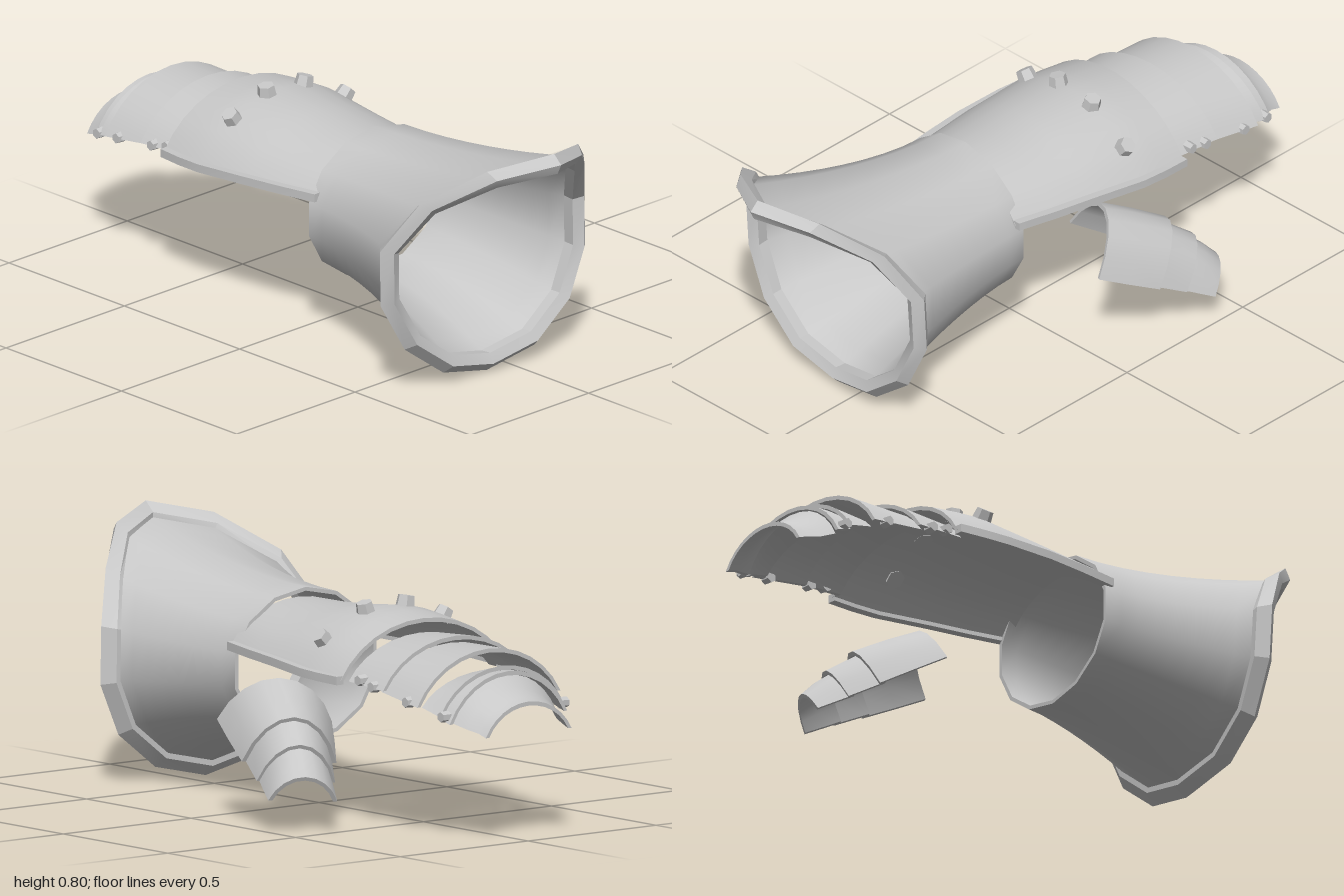
import * as THREE from 'three';
import { toCreasedNormals } from 'three/addons/utils/BufferGeometryUtils.js';

const V = (x, y, z) => new THREE.Vector3(x, y, z);
const { lerp } = THREE.MathUtils;
const ARC = 65 * Math.PI / 180;
const SIDES = 14;

// Solid skinned over closed loops of points; ends are capped, or joined into a ring.
function loft(loops, { ring = false, crease = 0.7 } = {}) {
  const n = loops[0].length, rows = loops.length, index = [];
  const quad = (a, b, c, d) => index.push(a, b, c, a, c, d);
  for (let r = 0; r < (ring ? rows : rows - 1); r++) {
    const p = r * n, q = ((r + 1) % rows) * n;
    for (let i = 0; i < n; i++) {
      const j = (i + 1) % n;
      quad(p + i, p + j, q + j, q + i);
    }
  }
  if (!ring) {
    const e = (rows - 1) * n;
    for (let i = 0; i < n / 2 - 1; i++) {
      quad(i + 1, i, n - 1 - i, n - 2 - i);
      quad(e + i, e + i + 1, e + n - 2 - i, e + n - 1 - i);
    }
  }
  // Keep faces outward
  const pts = loops.flat();
  let volume = 0;
  for (let i = 0; i < index.length; i += 3) {
    volume += pts[index[i]].dot(V(0, 0, 0).crossVectors(pts[index[i + 1]], pts[index[i + 2]]));
  }
  if (volume < 0) index.reverse();
  const geo = new THREE.BufferGeometry().setFromPoints(pts);
  geo.setIndex(index);
  return toCreasedNormals(geo, crease);
}

// Cross-section of a curved plate: outer arc, then inner arc back again.
function archLoop(centre, across, up, half, height, thick = 0.013, segs = 12) {
  const arc = (h, t) => Array.from({ length: segs + 1 }, (_, i) => {
    const a = lerp(-ARC, ARC, i / segs);
    return centre.clone()
      .addScaledVector(across, h * Math.sin(a) / Math.sin(ARC))
      .addScaledVector(up, t * (Math.cos(a) - Math.cos(ARC)) / (1 - Math.cos(ARC)));
  });
  return [...arc(half, height), ...arc(half - thick, height - thick).reverse()];
}

// Hand plate station: x, back z, front z, edge y, crown y
const handLoop = (skew) => ([x, z0, z1, y0, y1]) =>
  archLoop(V(x, y0, (z0 + z1) / 2), V(skew, 0, 1), V(0, 1, 0), (z1 - z0) / 2, y1 - y0);

export function createModel() {
  const model = new THREE.Group();
  model.name = 'gauntlet';
  const steel = new THREE.MeshStandardMaterial({ color: 0xc8c8c8 });
  steel.name = 'steel';
  const add = (name, geo) => {
    const mesh = new THREE.Mesh(geo, steel);
    mesh.name = name;
    model.add(mesh);
    return mesh;
  };

  // Flared cuff with a peaked opening
  const rimX = [0.985, 0.89, 0.75, 0.66, 0.655, 0.665, 0.67, 0.66];
  const rimPoint = (k, f, dx) => {
    const a = k / SIDES * Math.PI * 2;
    const z = 0.1 - 0.415 * f * Math.sin(a) + 0.015 * Math.cos(a);
    return V(rimX[Math.min(k, SIDES - k)] + dx - 0.07 * (z - 0.1), 0.405 + 0.4 * f * Math.cos(a), z);
  };
  const cuffPoint = (k, t, inset) => {
    const a = k / SIDES * Math.PI * 2;
    const z = 0.055 - (0.268 - inset) * Math.sin(a);
    const wrist = V(0.13 - 0.07 * (z - 0.055), 0.407 + (0.238 - inset) * Math.cos(a), z);
    const rim = rimPoint(k, 0.89 - inset * 2.4, -0.035);
    const flare = Math.pow(t, 1.7);
    return V(lerp(wrist.x, rim.x, t), lerp(wrist.y, rim.y, flare), lerp(wrist.z, rim.z, flare));
  };
  const steps = 8, cuffLoops = [], rimLoops = [];
  const rimProfile = [[0.86, -0.05], [0.92, -0.05], [1, -0.015], [0.93, 0.015], [0.85, 0]];
  for (let k = 0; k < SIDES; k++) {
    const outer = [], inner = [];
    for (let s = 0; s <= steps; s++) {
      outer.push(cuffPoint(k, s / steps, 0));
      inner.unshift(cuffPoint(k, s / steps, 0.012));
    }
    cuffLoops.push([...outer, ...inner]);
    rimLoops.push(rimProfile.map(([f, dx]) => rimPoint(k, f, dx)));
  }
  add('cuff', loft(cuffLoops, { ring: true }));
  add('cuffRim', loft(rimLoops, { ring: true, crease: 0.3 }));

  // Back-of-hand plate
  const hand = [
    [-0.48, -0.29, 0.33, 0.46, 0.625], [-0.39, -0.29, 0.342, 0.462, 0.635],
    [-0.3, -0.285, 0.348, 0.465, 0.643], [-0.12, -0.255, 0.34, 0.475, 0.622],
    [0.02, -0.23, 0.325, 0.48, 0.613], [0.16, -0.2, 0.305, 0.485, 0.612],
  ];
  add('handPlate', loft(hand.map(handLoop(-0.07))));

  // Square trim along both edges of the hand plate
  for (const side of [-1, 1]) {
    const loops = hand.map(([x, z0, z1, y]) => {
      const z = side > 0 ? z1 : z0, px = x - 0.07 * (z - 0.03);
      return [[-0.012, -0.013], [0.016, -0.013], [0.016, 0.013], [-0.012, 0.013]]
        .map(([dz, dy]) => V(px, y + dy, z + side * dz));
    });
    add(side > 0 ? 'frontTrim' : 'backTrim', loft(loops, { crease: 0.3 }));
  }

  // Overlapping finger plates
  const fingers = [
    [[-0.63, -0.265, 0.305, 0.445, 0.588], [-0.46, -0.26, 0.3, 0.455, 0.578]],
    [[-0.8, -0.27, 0.29, 0.415, 0.57], [-0.61, -0.255, 0.288, 0.44, 0.565]],
    [[-0.865, -0.235, 0.25, 0.39, 0.525], [-0.78, -0.235, 0.25, 0.41, 0.502]],
    [[-0.9, -0.225, 0.235, 0.37, 0.513], [-0.85, -0.225, 0.235, 0.385, 0.51]],
    [[-1, -0.165, 0.17, 0.335, 0.432], [-0.965, -0.165, 0.175, 0.345, 0.44],
      [-0.925, -0.18, 0.185, 0.355, 0.465], [-0.885, -0.2, 0.205, 0.37, 0.503]],
  ];
  fingers.forEach((stations, i) => add('fingerPlate' + (i + 1), loft(stations.map(handLoop(0)))));

  // Thumb plates: [position along thumb, half width, height] at each end
  const thumbBase = V(-0.08, 0.29, -0.24), thumbTip = V(-0.43, 0.1, -0.415);
  const along = thumbTip.clone().sub(thumbBase).normalize();
  const across = V(0.51, 0.04, -0.86).normalize();
  const up = across.clone().cross(along).normalize();
  const thumb = [
    [[0, 0.176, 0.155], [0.25, 0.163, 0.163], [0.52, 0.145, 0.165]],
    [[0.47, 0.135, 0.15], [0.76, 0.12, 0.135]],
    [[0.71, 0.113, 0.123], [0.86, 0.11, 0.11], [1, 0.106, 0.088]],
  ];
  thumb.forEach((stations, i) => add('thumbPlate' + (i + 1), loft(stations.map(([t, half, h]) =>
    archLoop(thumbBase.clone().lerp(thumbTip, t), across, up, half, h, 0.013, 8)))));

  // Hexagonal knuckle studs
  const studGeo = toCreasedNormals(new THREE.CylinderGeometry(0.026, 0.032, 0.045, 6), 0.3);
  for (const [x, z] of [[-0.28, -0.215], [-0.295, -0.06], [-0.303, 0.09], [-0.31, 0.23]]) {
    const a = Math.asin((z - 0.0325) / 0.3175 * Math.sin(ARC));
    const y = 0.465 + 0.178 * (Math.cos(a) - Math.cos(ARC)) / (1 - Math.cos(ARC));
    const stud = add('knuckleStud', studGeo);
    stud.position.set(x, y + 0.006, z);
    stud.rotation.x = a;
  }

  // Small hinge rivets on both sides
  const rivetGeo = toCreasedNormals(new THREE.CylinderGeometry(0.016, 0.018, 0.03, 6), 0.3);
  for (const [x, y, z0, z1] of [[-0.875, 0.392, -0.225, 0.238], [-0.745, 0.425, -0.258, 0.282],
    [-0.58, 0.452, -0.258, 0.298], [-0.518, 0.465, -0.258, 0.296]]) {
    for (const side of [-1, 1]) {
      const rivet = add('hingeRivet', rivetGeo);
      rivet.position.set(x, y, side > 0 ? z1 : z0);
      rivet.rotation.x = side * Math.PI / 2;
    }
  }
  return model;
}
